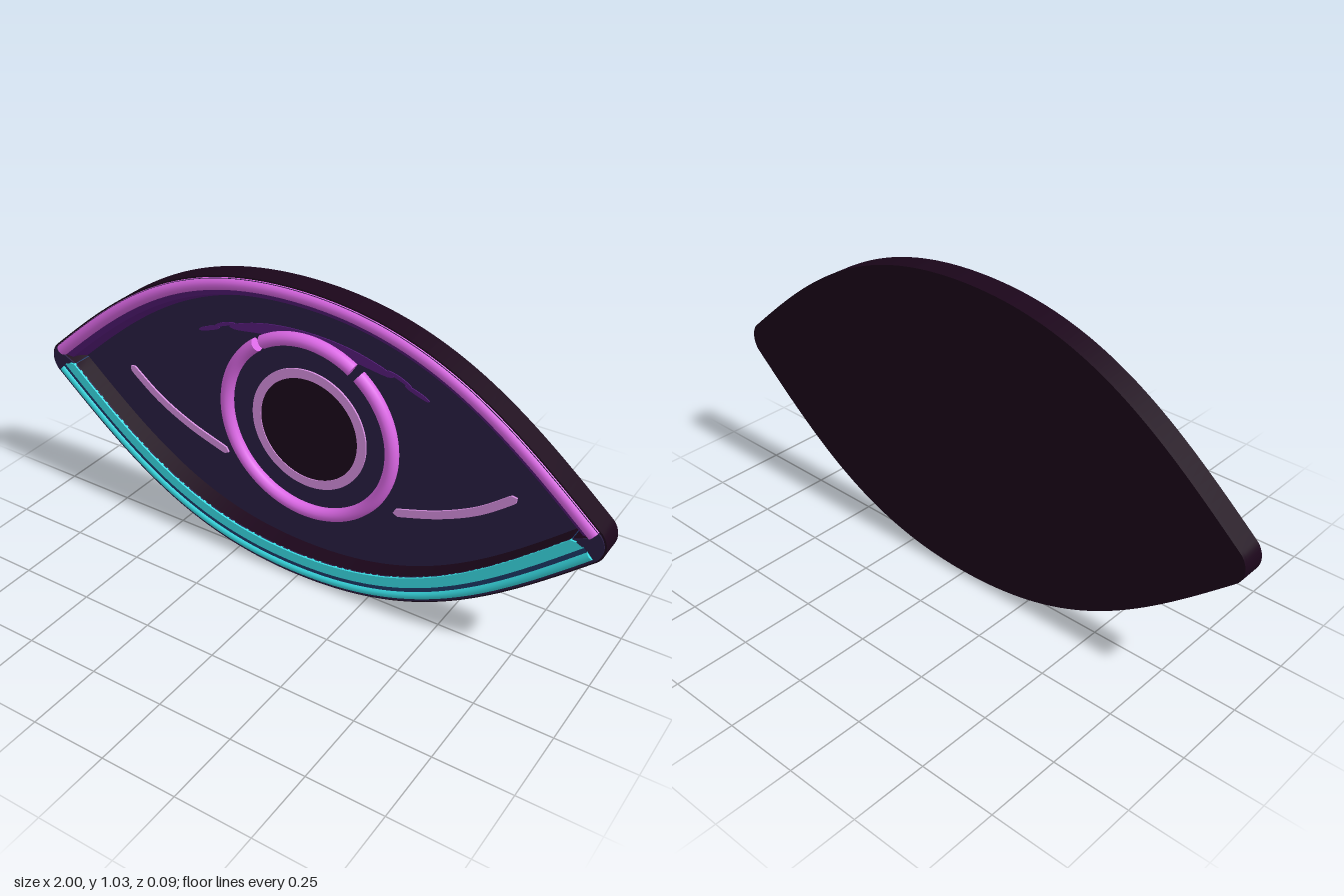
import * as THREE from 'three';
import { toCreasedNormals } from 'three/addons/utils/BufferGeometryUtils.js';

const TOP = 1.03;
const MID = TOP / 2;
const BACK = -0.047;
const RIM = 0.038;      // front of the raised rim
const FLOOR = -0.03;    // front of the sunken face
const TIP_X = 0.93, TIP_R = 0.07, TIP_A = 0.845;

// One half of the upper lid edge, from the tip to the crown
const lidEdge = new THREE.CubicBezierCurve(
  new THREE.Vector2(0.976, 0.567), new THREE.Vector2(0.686, 0.824),
  new THREE.Vector2(0.44, TOP), new THREE.Vector2(0, TOP));

// Point on a lid, t from -1 to 1, inset by d; lids stop at the middle line
function lid(t, d, lower) {
  const u = 1 - Math.abs(t), side = t < 0 ? -1 : 1;
  const p = lidEdge.getPoint(u), n = lidEdge.getTangent(u);
  const x = side * (p.x - n.y * d);
  const y = Math.max(p.y + n.x * d, MID);
  return new THREE.Vector2(x, lower ? TOP - y : y);
}

// Eye outline with separate insets for the two lids and rounded tips where they fit
function outline(dUp, dLow = dUp) {
  const points = [];
  const addLid = (from, to, d, lower) => {
    for (let i = 0; i <= 80; i++) {
      const p = lid(from + (to - from) * i / 80, d, lower);
      if (Math.abs(p.y - MID) > 1e-4) points.push(p);
    }
  };
  const addTip = (mid) => {
    if (dLow >= TIP_R) return;
    for (let i = 1; i < 12; i++) {
      const a = mid + TIP_A * (i / 6 - 1);
      points.push(new THREE.Vector2(
        Math.sign(Math.cos(mid)) * TIP_X + (TIP_R - dUp) * Math.cos(a), MID + (TIP_R - dUp) * Math.sin(a)));
    }
  };
  addLid(1, -1, dUp, false);
  addTip(Math.PI);
  addLid(-1, 1, dLow, true);
  addTip(0);
  return points;
}

// Profile of [inset, z] points swept along a lid
function sweep(profile, lower) {
  const pos = [], index = [], n = profile.length, steps = 100;
  for (let i = 0; i <= steps; i++) {
    for (const [d, z] of profile) {
      const p = lid(2 * i / steps - 1, d, lower);
      pos.push(p.x, p.y, z);
    }
  }
  for (let i = 0; i < steps; i++) {
    for (let j = 0; j < n - 1; j++) {
      const a = i * n + j, b = a + n;
      if (lower) index.push(a, b, a + 1, b, b + 1, a + 1);
      else index.push(a, a + 1, b, b, a + 1, b + 1);
    }
  }
  const g = new THREE.BufferGeometry();
  g.setAttribute('position', new THREE.Float32BufferAttribute(pos, 3));
  g.setIndex(index);
  return toCreasedNormals(g, 0.6);
}

// Flat ribbon following a curve, tapered towards its ends if asked
function ribbonShape(points, width, taper) {
  const curve = new THREE.SplineCurve(points.map(p => new THREE.Vector2(...p)));
  const left = [], right = [];
  for (let i = 0; i <= 24; i++) {
    const t = i / 24;
    const p = curve.getPoint(t), n = curve.getTangent(t);
    const end = Math.sqrt(Math.max(0, 1 - Math.pow(Math.abs(2 * t - 1), taper ? 2 : 24)));
    const w = width / 2 * Math.max(0.08, end);
    left.push(new THREE.Vector2(p.x - n.y * w, p.y + n.x * w));
    right.unshift(new THREE.Vector2(p.x + n.y * w, p.y - n.x * w));
  }
  return new THREE.Shape(left.concat(right));
}

class PlanePath extends THREE.Curve {
  constructor(pointAt, z) {
    super();
    this.pointAt = pointAt;
    this.z = z;
  }
  getPoint(t, target = new THREE.Vector3()) {
    const p = this.pointAt(t);
    return target.set(p.x, p.y, this.z);
  }
}

function makeMaterial(name, color, side = THREE.FrontSide) {
  const m = new THREE.MeshStandardMaterial({ color, side });
  m.name = name;
  return m;
}

export function createModel() {
  const group = new THREE.Group();
  const board = makeMaterial('plum black', 0x1b061a);
  const panel = makeMaterial('dark violet', 0x281d42);
  const purple = makeMaterial('deep purple', 0x561c7a, THREE.DoubleSide);
  const pink = makeMaterial('neon orchid', 0xdc68e6);
  const mauve = makeMaterial('pale mauve', 0xd68ede);
  const cyan = makeMaterial('neon cyan', 0x38dce4, THREE.DoubleSide);
  const navy = makeMaterial('navy', 0x1c3866, THREE.DoubleSide);

  const add = (name, geometry, material) => {
    const mesh = new THREE.Mesh(geometry, material);
    mesh.name = name;
    group.add(mesh);
    return mesh;
  };
  const plate = (name, shape, z0, z1, material) => {
    const g = new THREE.ExtrudeGeometry(shape, { depth: z1 - z0, bevelEnabled: false, curveSegments: 64 });
    g.translate(0, 0, z0);
    add(name, toCreasedNormals(g, 0.6), material);
  };
  // Neon tube with flat ends
  const neon = (name, pointAt, z, radius, material) => {
    const path = new PlanePath(pointAt, z);
    add(name, new THREE.TubeGeometry(path, 90, radius, 16, false), material);
    for (const t of [0, 1]) {
      const cap = add(name + 'End', new THREE.CircleGeometry(radius, 16), material);
      const p = path.getPoint(t);
      cap.position.copy(p);
      cap.lookAt(p.clone().addScaledVector(path.getTangent(t), t ? 1 : -1));
    }
  };

  // Backing board with a raised rim around the sunken face
  const rimShape = (d) => {
    const s = new THREE.Shape(outline(d));
    s.holes.push(new THREE.Path(outline(0.04, 0.09)));
    return s;
  };
  plate('backBoard', new THREE.Shape(outline(0)), BACK, FLOOR - 0.005, board);
  plate('rim', rimShape(0), FLOOR - 0.005, RIM - 0.005, board);
  plate('rimFront', rimShape(0.006), RIM - 0.005, RIM, panel);
  plate('facePanel', new THREE.Shape(outline(0.042, 0.088)), FLOOR - 0.004, FLOOR, panel);

  // Upper lid: sloping purple inner face and neon tube
  add('upperLidGlow', sweep([[0.036, RIM - 0.004], [0.066, 0.018], [0.086, FLOOR]], false), purple);
  neon('upperLidTube', t => lid(1 - 2 * t, 0.025, false), 0.0265, 0.0215, pink);

  // Lower lid: navy inner wall and groove, flat cyan band and cyan tube
  add('lowerLidWall', sweep([[0.089, RIM], [0.089, FLOOR]], true), navy);
  add('lowerLidGroove', sweep([[0.02, RIM + 0.002], [0.06, RIM + 0.002]], true), navy);
  add('lowerLidBand', sweep([[0.056, RIM], [0.056, RIM + 0.006], [0.09, RIM + 0.006], [0.09, RIM - 0.004]], true), cyan);
  neon('lowerLidTube', t => lid(2 * t - 1, 0.027, true), 0.031, 0.016, cyan);

  // Eyelid crease, broken towards its ends
  plate('lidCrease', ribbonShape([[-0.29, 0.8], [-0.15, 0.83], [0, 0.84], [0.15, 0.83], [0.29, 0.8]], 0.042, true),
    FLOOR, FLOOR + 0.003, purple);
  for (const s of [-1, 1]) {
    const mirrored = pts => pts.map(([x, y]) => [s * x, y]).sort((a, b) => a[0] - b[0]);
    plate('creaseDash', ribbonShape(mirrored([[0.27, 0.815], [0.31, 0.803], [0.35, 0.785]]), 0.012, true),
      FLOOR, FLOOR + 0.003, purple);
    plate('creaseDot', ribbonShape(mirrored([[0.33, 0.785], [0.37, 0.772], [0.41, 0.757]]), 0.014, true),
      FLOOR, FLOOR + 0.003, purple);
    // Lines sweeping from the corners towards the iris
    plate('sideLine', ribbonShape(mirrored([[0.705, 0.538], [0.59, 0.45], [0.46, 0.385], [0.31, 0.335]]), 0.027, false),
      FLOOR, FLOOR + 0.006, mauve);
  }

  // Iris tube in two pieces with narrow gaps near the top
  const cut = 0.97, gap = 0.045;
  const irisArc = (a0, a1) => t => {
    const a = a0 + (a1 - a0) * t;
    return { x: 0.302 * Math.cos(a), y: 0.533 + 0.302 * Math.sin(a) };
  };
  neon('irisTube', irisArc(Math.PI - cut + gap, 2 * Math.PI + cut - gap), FLOOR + 0.012, 0.022, pink);
  neon('irisTubeTop', irisArc(cut + gap, Math.PI - cut - gap), FLOOR + 0.012, 0.022, pink);

  // Pupil and its ring
  const disc = new THREE.Shape().absarc(0, 0.525, 0.18, 0, Math.PI * 2, false);
  plate('pupil', disc, FLOOR, FLOOR + 0.003, board);
  const ring = new THREE.Shape().absarc(0, 0.525, 0.208, 0, Math.PI * 2, false);
  ring.holes.push(new THREE.Path().absarc(0, 0.525, 0.177, 0, Math.PI * 2, true));
  plate('pupilRing', ring, FLOOR, FLOOR + 0.006, mauve);

  return group;
}
